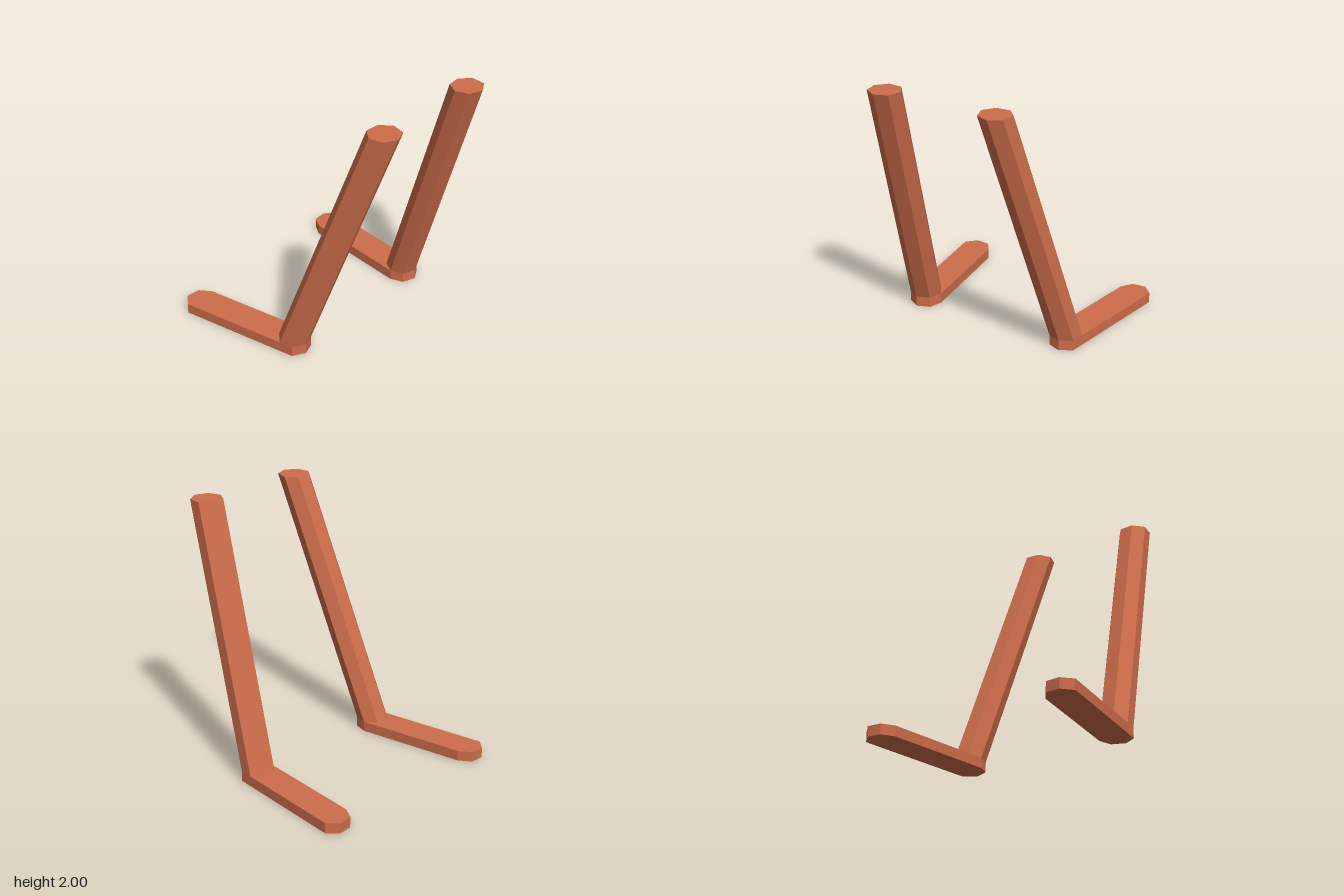
import * as THREE from 'three';
import { ConvexGeometry } from 'three/addons/geometries/ConvexGeometry.js';

const SIDES = 7, RADIUS = 0.125, FOOT_HEIGHT = 0.08, TOP = 2;
const material = new THREE.MeshStandardMaterial({ color: 0xcd6d4b, flatShading: true });

// Horizontal seven-sided ring around [x, z] at height y
function ring([x, z], y, phase) {
  return Array.from({ length: SIDES }, (_, i) => {
    const a = phase + (i / SIDES) * Math.PI * 2;
    return new THREE.Vector3(x + RADIUS * Math.cos(a), y, z + RADIUS * Math.sin(a));
  });
}

// Solid spanning the given rings
function solid(name, ...rings) {
  const mesh = new THREE.Mesh(new ConvexGeometry(rings.flat()), material);
  mesh.name = name;
  return mesh;
}

// Flat foot from toe to heel, with a slanted leg rising from the heel
function limb(name, { toe, heel, top, phase }) {
  const group = new THREE.Group();
  group.name = name;
  group.add(
    solid('foot',
      ring(toe, 0, phase), ring(toe, FOOT_HEIGHT, phase),
      ring(heel, 0, phase), ring(heel, FOOT_HEIGHT, phase)),
    solid('leg', ring(heel, FOOT_HEIGHT, phase), ring(top, TOP, phase)),
  );
  return group;
}

export function createModel() {
  const model = new THREE.Group();
  model.name = 'legs';
  model.add(
    limb('frontLimb', { toe: [-0.785, 0.747], heel: [0.082, 0.638], top: [0.77, 0.464], phase: 0.087 }),
    limb('backLimb', { toe: [-0.774, -0.751], heel: [0.095, -0.63], top: [0.776, -0.443], phase: -0.078 }),
  );
  return model;
}
